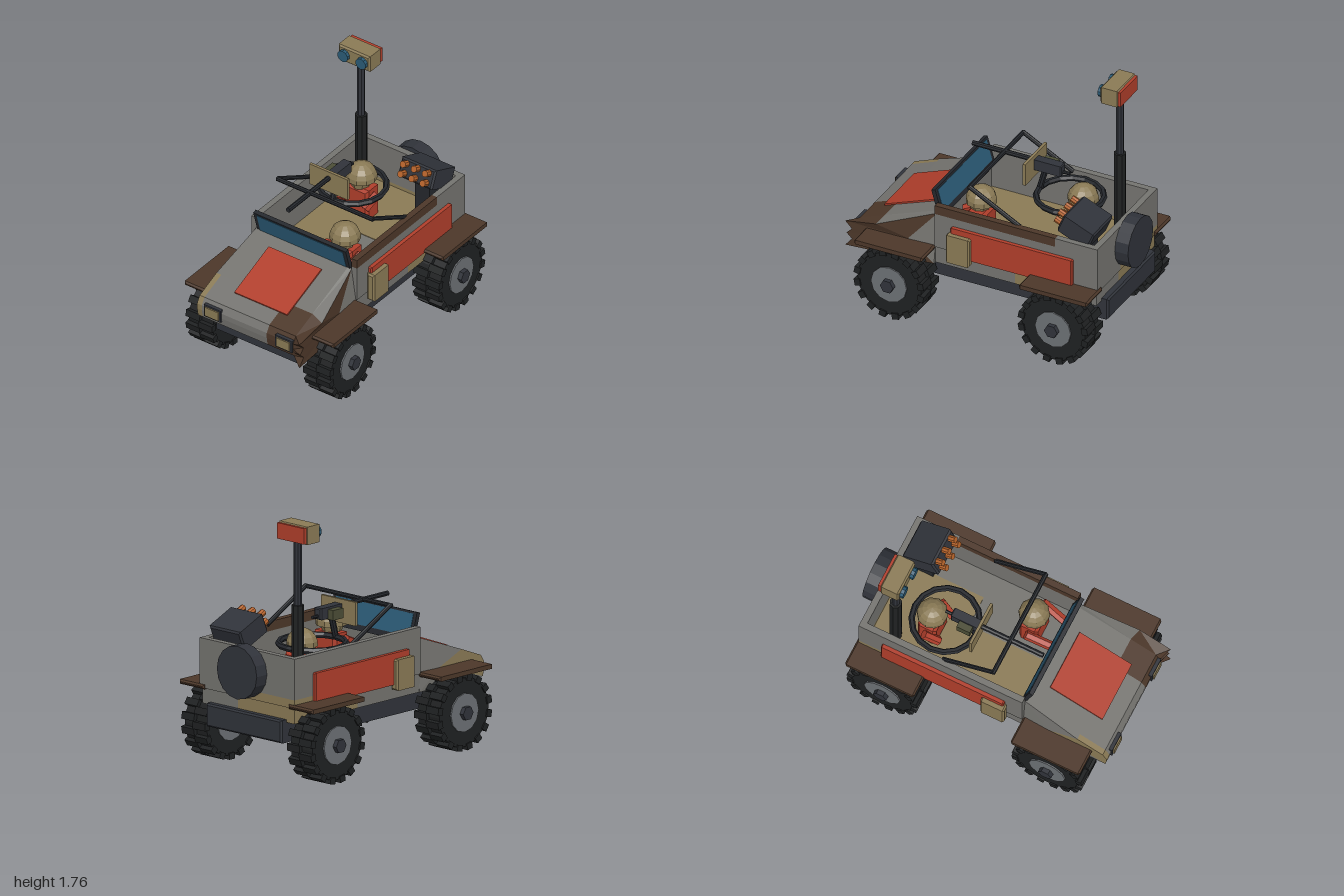
import * as THREE from 'three';

const C = { gray: 0x74736f, tan: 0x8a7a55, brown: 0x4c3729, red: 0xb03e2b, dark: 0x30333a,
  black: 0x1f2122, blue: 0x2b5b76, orange: 0xb5622a, hub: 0x6c7074, frame: 0x24272c, olive: 0x4b4d36 };
const mats = {};
const mat = (c) => (mats[c] ??= new THREE.MeshStandardMaterial({ color: C[c], flatShading: true }));
const V = (x, y, z) => new THREE.Vector3(x, y, z);

function add(parent, name, geo, color, pos = [0, 0, 0], rot = [0, 0, 0]) {
  const m = new THREE.Mesh(geo, mat(color));
  m.name = name;
  m.position.set(...pos);
  m.rotation.set(...rot);
  parent.add(m);
  return m;
}

// Box given by its lower and upper limits on each axis
const span = (parent, name, color, [x0, x1], [y0, y1], [z0, z1]) =>
  add(parent, name, new THREE.BoxGeometry(x1 - x0, y1 - y0, z1 - z0), color,
    [(x0 + x1) / 2, (y0 + y1) / 2, (z0 + z1) / 2]);

// Box with chamfered long edges, extruded along z
function chamfered(w, h, d, c = 0.012) {
  const a = w / 2 - c, b = h / 2 - c;
  const s = new THREE.Shape([[-a, -b], [a, -b], [a, b], [-a, b]].map((p) => new THREE.Vector2(...p)));
  const g = new THREE.ExtrudeGeometry(s, { depth: d - 2 * c, bevelThickness: c, bevelSize: c, bevelSegments: 1 });
  return g.translate(0, 0, -d / 2 + c);
}

// Round bar between two points
function bar(parent, name, color, a, b, r, sides = 8) {
  const m = add(parent, name, new THREE.CylinderGeometry(r, r, a.distanceTo(b), sides), color);
  m.position.copy(a).add(b).multiplyScalar(0.5);
  m.quaternion.setFromUnitVectors(V(0, 1, 0), b.clone().sub(a).normalize());
  return m;
}

function wheel(side, z) {
  const g = new THREE.Group();
  g.name = 'wheel';
  const disc = (name, color, r, x0, x1, n) => add(g, name,
    new THREE.CylinderGeometry(r, r, x1 - x0, n), color, [(x0 + x1) / 2, 0, 0], [0, 0, Math.PI / 2]);
  disc('tyre', 'black', 0.24, -0.1, 0.1, 20);
  disc('hub', 'hub', 0.135, -0.105, 0.11, 12);
  disc('hubCap', 'dark', 0.05, 0.1, 0.142, 6);
  // Two staggered rows of tread blocks
  for (let i = 0; i < 32; i++) {
    const a = (i / 32) * Math.PI * 2;
    add(g, 'tread', new THREE.BoxGeometry(0.115, 0.045, 0.05), 'black',
      [i % 2 ? 0.053 : -0.053, Math.cos(a) * 0.243, Math.sin(a) * 0.243], [a, 0, 0]);
  }
  g.position.set(side * 0.49, 0.27, z);
  if (side < 0) g.rotation.y = Math.PI;
  return g;
}

// Hood shell: profiles across x, with one crumpled front corner
function hood(parent) {
  const base = [[0.33, 0.43], [0.95, 0.43], [0.955, 0.46], [0.96, 0.49], [0.96, 0.53], [0.93, 0.58], [0.74, 0.655], [0.33, 0.81]];
  const bent = [[0.33, 0.43], [1.0, 0.39], [0.95, 0.45], [0.99, 0.49], [0.95, 0.53], [1.0, 0.58], [0.76, 0.63], [0.33, 0.8]];
  const xs = [-0.43, -0.39, 0.15, 0.37, 0.45];
  const slices = xs.map((x, i) => (i === 4 ? bent : base).map(([z, y], j) => {
    const edge = i === 0 || i === 4;
    return V(edge && j === 7 ? Math.sign(x) * 0.395 : x + (i === 4 && j === 6 ? 0.015 : 0), y, z);
  }));
  const sets = { gray: [], tan: [], brown: [] };
  const tri = (c, ...p) => p.forEach((v) => sets[c].push(v.x, v.y, v.z));
  const n = base.length;
  for (let i = 0; i < 4; i++) for (let j = 0; j < n; j++) {
    const k = (j + 1) % n, c = j < 6 && i > 1 ? 'brown' : i === 0 && j < 6 ? 'tan' : 'gray';
    const [a, b, d, e] = [slices[i][j], slices[i + 1][j], slices[i + 1][k], slices[i][k]];
    tri(c, a, b, d);
    tri(c, a, d, e);
  }
  // Side caps
  for (let j = 0; j < n; j++) {
    const k = (j + 1) % n;
    tri(j === n - 1 ? 'gray' : 'brown', V(0.44, 0.57, 0.53), slices[4][k], slices[4][j]);
    tri(j > 0 && j < 6 ? 'tan' : 'gray', V(-0.43, 0.57, 0.53), slices[0][j], slices[0][k]);
  }
  for (const c in sets) {
    const g = new THREE.BufferGeometry();
    g.setAttribute('position', new THREE.Float32BufferAttribute(sets[c], 3));
    g.computeVertexNormals();
    add(parent, 'hood', g, c).material = Object.assign(mat(c).clone(), { side: THREE.DoubleSide });
  }
}

function crew(parent, name, x, z, headY, reach) {
  const g = new THREE.Group();
  g.name = name;
  add(g, 'torso', chamfered(0.2, 0.24, 0.14, 0.02), 'red', [0, headY - 0.18, 0]);
  add(g, 'head', new THREE.SphereGeometry(0.075, 8, 6), 'tan', [0, headY - 0.03, 0.01]);
  add(g, 'helmet', new THREE.SphereGeometry(0.108, 10, 5, 0, Math.PI * 2, 0, Math.PI * 0.55), 'tan', [0, headY, 0])
    .material = Object.assign(mat('tan').clone(), { side: THREE.DoubleSide });
  for (const s of [-1, 1])
    bar(g, 'arm', 'red', V(s * 0.13, headY - 0.1, 0), V(s * 0.1, headY - 0.18, reach), 0.033, 6);
  g.position.set(x, 0, z);
  parent.add(g);
}

export function createModel() {
  const model = new THREE.Group();
  model.name = 'buggy';

  // Chassis and running gear
  span(model, 'chassis', 'dark', [-0.35, 0.35], [0.29, 0.43], [-0.86, 0.85]);
  add(model, 'rearBumper', chamfered(0.7, 0.16, 0.14), 'dark', [0, 0.37, -0.865]);
  for (const z of [0.595, -0.645]) {
    bar(model, 'axle', 'black', V(-0.42, 0.27, z), V(0.42, 0.27, z), 0.04);
    for (const s of [-1, 1]) {
      model.add(wheel(s, z));
      add(model, 'fender', chamfered(0.23, 0.032, 0.52), 'brown', [s * 0.505, 0.55, z + (z > 0 ? -0.005 : -0.01)]);
    }
  }

  // Lower hull and floor in painted sections
  span(model, 'lowerHull', 'gray', [-0.425, 0.425], [0.43, 0.56], [-0.27, 0.34]);
  span(model, 'lowerHull', 'tan', [-0.425, 0.425], [0.43, 0.56], [-0.75, -0.27]);
  span(model, 'lowerHull', 'tan', [-0.425, 0.1], [0.43, 0.56], [-0.885, -0.75]);
  span(model, 'lowerHull', 'gray', [0.1, 0.425], [0.43, 0.56], [-0.885, -0.75]);
  span(model, 'floor', 'tan', [-0.4, 0], [0.55, 0.575], [-0.86, 0.33]);
  span(model, 'floor', 'gray', [0, 0.4], [0.55, 0.57], [-0.86, 0.33]);
  span(model, 'floor', 'tan', [0, 0.22], [0.56, 0.575], [-0.86, -0.29]);

  // Tub walls
  for (const s of [-1, 1]) {
    const x = s > 0 ? [0.395, 0.44] : [-0.44, -0.395];
    span(model, 'sideWall', 'gray', x, [0.56, 0.82], [-0.6, 0.33]);
    span(model, 'sideWallTop', s > 0 ? 'brown' : 'gray', x, [0.82, 0.885], [-0.58, 0.33]);
    span(model, 'sideWallRear', 'gray', x, [0.6, 0.885], [-0.9, -0.58]);
    span(model, 'sideWallFoot', s > 0 ? 'gray' : 'tan', x, [0.54, 0.6], [-0.9, -0.58]);
    add(model, 'sidePanel', chamfered(0.04, 0.22, 0.92, 0.008), 'red', [s * 0.447, 0.65, -0.26]);
    add(model, 'fuelCan', chamfered(0.06, 0.215, 0.18), 'tan', [s * 0.47, 0.61, 0.13]);
  }
  span(model, 'rearWall', 'gray', [-0.44, 0.44], [0.6, 0.885], [-0.9, -0.855]);
  span(model, 'rearWallFoot', 'tan', [-0.44, 0.1], [0.54, 0.6], [-0.9, -0.855]);
  span(model, 'rearWallFoot', 'gray', [0.1, 0.44], [0.54, 0.6], [-0.9, -0.855]);
  add(model, 'spareTyre', new THREE.CylinderGeometry(0.185, 0.185, 0.1, 16), 'dark', [0, 0.735, -0.95], [Math.PI / 2, 0, 0]);

  // Hood, hatch and headlights
  hood(model);
  add(model, 'hoodHatch', new THREE.BoxGeometry(0.44, 0.02, 0.42), 'red', [0, 0.7, 0.625], [0.368, 0, 0]);
  for (const x of [-0.297, 0.297]) {
    span(model, 'headlightSurround', 'dark', [x - 0.07, x + 0.07], [0.46, 0.555], [0.92, 0.97]);
    span(model, 'headlight', 'tan', [x - 0.055, x + 0.055], [0.473, 0.542], [0.95, 0.98]);
  }

  // Windshield, leaning forward
  const shield = new THREE.Group();
  shield.name = 'windshield';
  add(shield, 'windshieldFrame', new THREE.BoxGeometry(0.77, 0.21, 0.03), 'frame');
  add(shield, 'windshieldGlass', new THREE.BoxGeometry(0.715, 0.155, 0.036), 'blue', [0, 0.012, 0]);
  shield.position.set(0, 0.868, 0.34);
  shield.rotation.x = 0.28;
  model.add(shield);

  // Roll bar with legs raked to the rear
  bar(model, 'rollBar', 'frame', V(-0.4, 1.07, 0.09), V(0.4, 1.07, 0.09), 0.016);
  for (const s of [-1, 1]) bar(model, 'rollBarLeg', 'frame', V(s * 0.392, 1.075, 0.09), V(s * 0.392, 0.87, -0.29), 0.016);

  // Crew
  crew(model, 'driver', 0.18, 0.11, 0.855, 0.18);
  crew(model, 'gunner', -0.13, -0.5, 0.87, 0.1);

  // Gun ring and gun
  add(model, 'gunRing', new THREE.TorusGeometry(0.23, 0.022, 6, 16), 'frame', [-0.13, 0.855, -0.4], [Math.PI / 2, 0, 0]);
  bar(model, 'gunPost', 'frame', V(-0.13, 0.85, -0.17), V(-0.13, 1.03, -0.22), 0.022);
  bar(model, 'gunBarrel', 'frame', V(-0.13, 1.065, -0.15), V(-0.13, 1.065, 0.335), 0.018);
  add(model, 'gunBody', chamfered(0.065, 0.08, 0.22, 0.008), 'dark', [-0.13, 1.045, -0.24]);
  bar(model, 'gunGrip', 'frame', V(-0.13, 1.03, -0.34), V(-0.13, 1.03, -0.4), 0.012);
  span(model, 'ammoBox', 'olive', [-0.21, -0.162], [1.0, 1.07], [-0.28, -0.18]);
  span(model, 'gunShield', 'tan', [-0.29, 0.03], [0.95, 1.115], [-0.145, -0.125]);

  // Sensor mast
  bar(model, 'mastBase', 'black', V(-0.28, 0.56, -0.7), V(-0.28, 1.2, -0.7), 0.043);
  bar(model, 'mast', 'dark', V(-0.28, 1.2, -0.7), V(-0.28, 1.66, -0.7), 0.027);
  add(model, 'sensorHead', chamfered(0.26, 0.125, 0.14), 'tan', [-0.28, 1.705, -0.685]);
  span(model, 'sensorBackPlate', 'red', [-0.405, -0.155], [1.65, 1.76], [-0.77, -0.745]);
  for (const x of [-0.355, -0.205])
    bar(model, 'sensorLens', 'blue', V(x, 1.705, -0.63), V(x, 1.705, -0.59), 0.043, 10);

  // Rocket launcher, front tipped up
  span(model, 'launcherStand', 'frame', [0.2, 0.32], [0.56, 0.92], [-0.78, -0.66]);
  const launcher = new THREE.Group();
  launcher.name = 'launcher';
  add(launcher, 'launcherBox', chamfered(0.285, 0.14, 0.25), 'dark');
  for (const x of [-0.092, 0, 0.092]) for (const y of [-0.033, 0.037])
    bar(launcher, 'launchTube', 'orange', V(x, y, 0.1), V(x, y, 0.175), 0.024);
  launcher.position.set(0.257, 0.945, -0.712);
  launcher.rotation.x = -0.4;
  model.add(launcher);

  return model;
}
